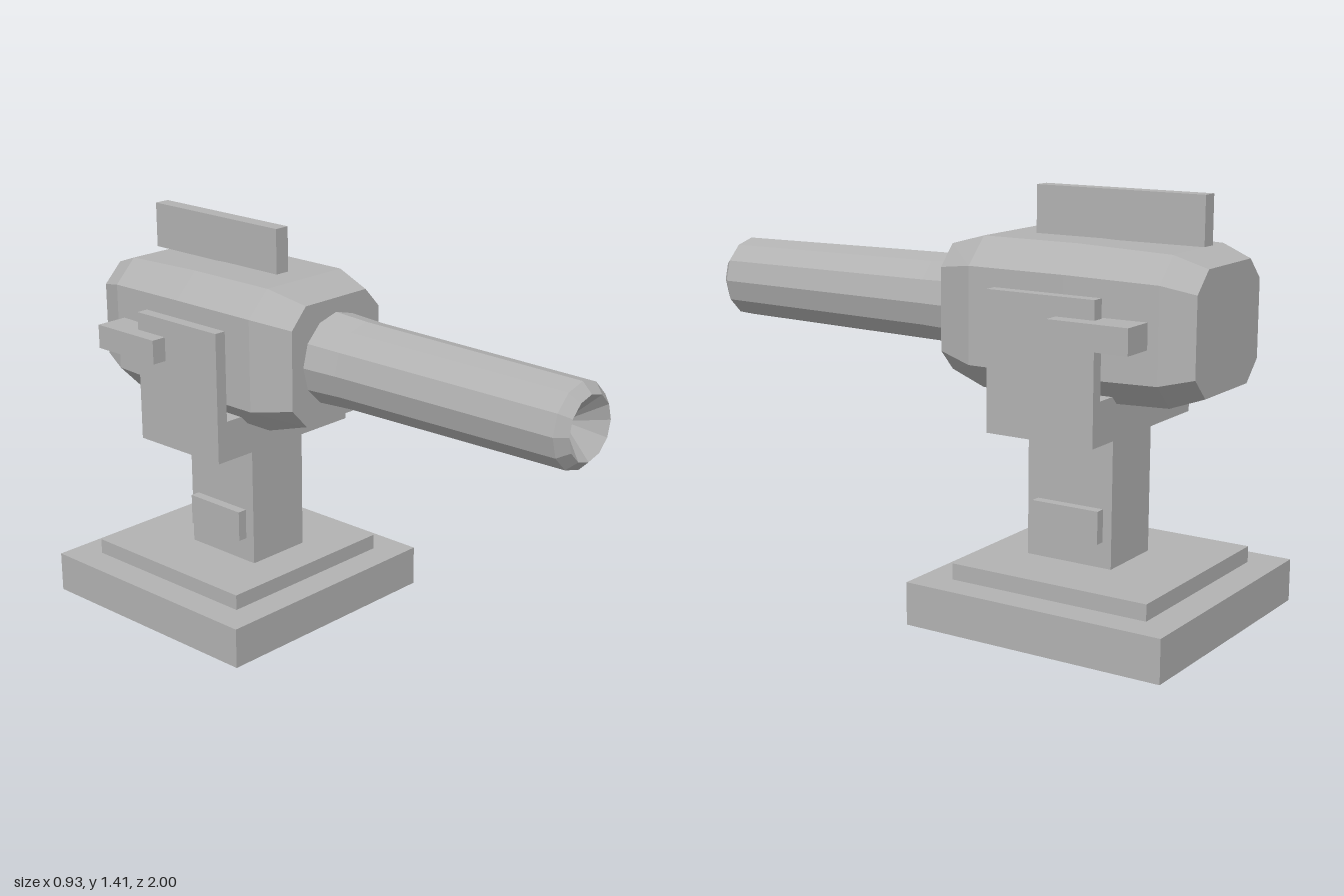
import * as THREE from 'three';
import { ConvexGeometry } from 'three/addons/geometries/ConvexGeometry.js';

export function createModel() {
  const model = new THREE.Group();
  const grey = new THREE.MeshStandardMaterial({ color: 0xb2b2b2 });
  grey.name = 'plain grey';

  const add = (name, geometry) => {
    const mesh = new THREE.Mesh(geometry, grey);
    mesh.name = name;
    model.add(mesh);
    return mesh;
  };
  // Box given by its limits on each axis
  const block = (name, x0, x1, y0, y1, z0, z1) => {
    const mesh = add(name, new THREE.BoxGeometry(x1 - x0, y1 - y0, z1 - z0));
    mesh.position.set((x0 + x1) / 2, (y0 + y1) / 2, (z0 + z1) / 2);
  };

  // Stepped base and column
  block('base', -0.463, 0.463, 0, 0.145, -1, -0.07);
  block('baseStep', -0.356, 0.356, 0.145, 0.2, -0.893, -0.177);
  block('column', -0.125, 0.125, 0.2, 0.645, -0.637, -0.322);

  // Column pads and side handles, mirrored
  for (const [side, s] of [['left', 1], ['right', -1]]) {
    const mirrored = (name, a, b, ...rest) =>
      block(side + name, Math.min(a * s, b * s), Math.max(a * s, b * s), ...rest);
    mirrored('ColumnPad', 0.12, 0.16, 0.287, 0.397, -0.605, -0.36);
    mirrored('Handle', 0.255, 0.375, 0.96, 1.045, -0.822, -0.538);
  }

  // U-shaped yoke
  const u = new THREE.Shape([
    [-0.32, 0.645], [0.32, 0.645], [0.32, 1.108], [0.277, 1.108],
    [0.277, 0.788], [-0.277, 0.788], [-0.277, 1.108], [-0.32, 1.108],
  ].map(([x, y]) => new THREE.Vector2(x, y)));
  const yoke = add('yoke', new THREE.ExtrudeGeometry(u, { depth: 0.39, bevelEnabled: false }));
  yoke.position.z = -0.675;

  // Housing: chamfered sections as z, half width, half height, flat half width, flat half height
  const axisY = 1.005;
  const corners = [];
  for (const [z, w, h, fw, fh] of [
    [-0.035, 0.213, 0.21, 0.146, 0.139],
    [-0.18, 0.267, 0.249, 0.178, 0.161],
    [-0.53, 0.267, 0.249, 0.178, 0.161],
    [-0.857, 0.254, 0.237, 0.17, 0.154],
    [-0.965, 0.215, 0.199, 0.144, 0.129],
  ]) {
    for (const sx of [-1, 1]) for (const sy of [-1, 1]) {
      corners.push(new THREE.Vector3(sx * fw, axisY + sy * h, z));
      corners.push(new THREE.Vector3(sx * w, axisY + sy * fh, z));
    }
  }
  add('housing', new ConvexGeometry(corners));

  // Twelve-sided barrel with a conical muzzle recess
  const profile = [[0.161, -0.04], [0.153, 0.1], [0.142, 0.965], [0.108, 1], [0, 0.9]]
    .map(([r, z]) => new THREE.Vector2(r, z));
  const barrelGeometry = new THREE.LatheGeometry(profile, 12).toNonIndexed();
  barrelGeometry.rotateX(Math.PI / 2);
  barrelGeometry.computeVertexNormals();
  add('barrel', barrelGeometry).position.y = axisY;

  // Fin along the top
  block('topFin', -0.028, 0.028, 1.252, 1.412, -0.89, -0.285);

  return model;
}
